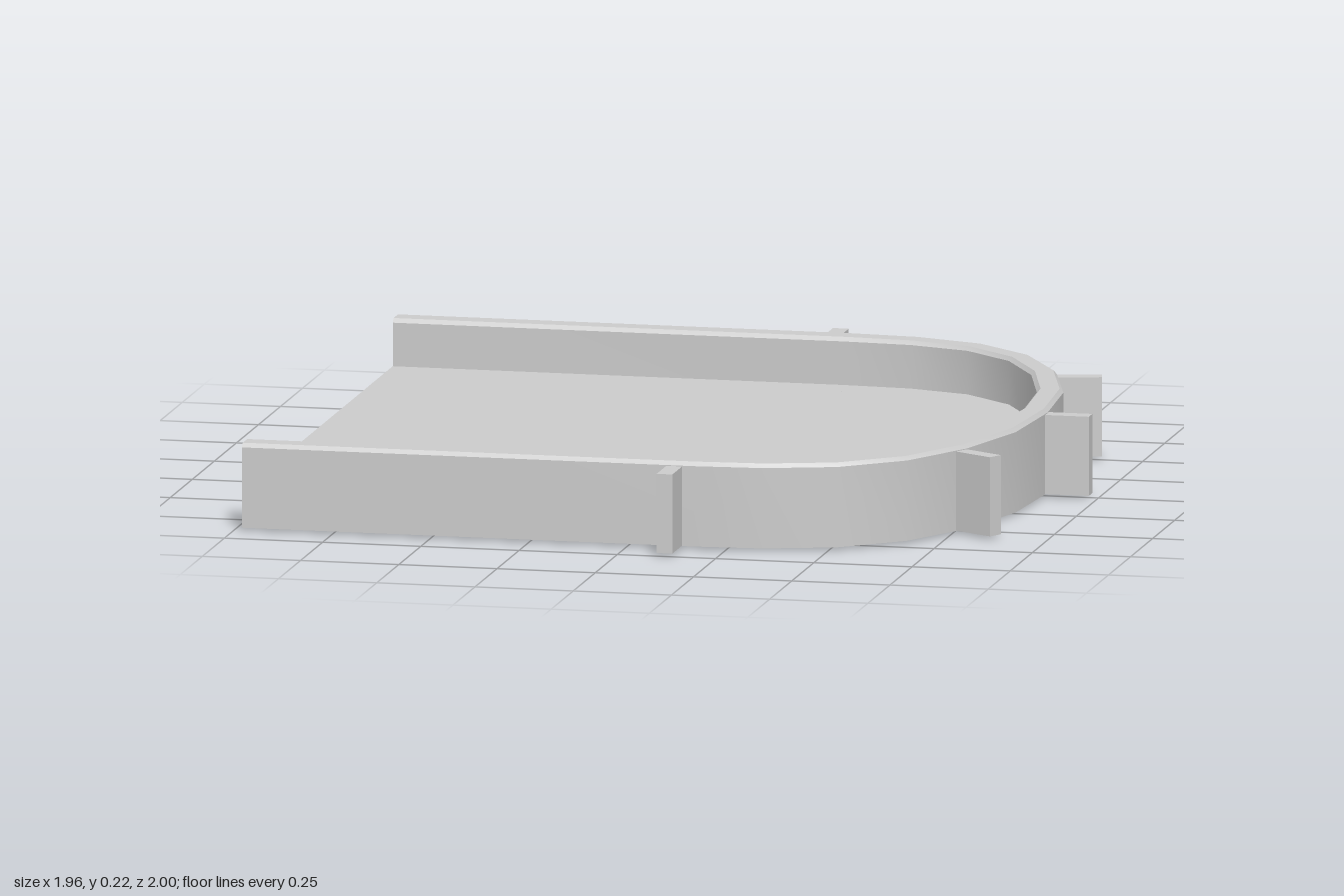
import * as THREE from 'three';
import { toCreasedNormals } from 'three/addons/utils/BufferGeometryUtils.js';

const BACK = -0.98, STEP = 0.18, FLOOR = 0.1, RIM = 0.22;

// Half outlines as [x, z], from the straight side to the tip of the curve
const OUTER = [[0.17, 0.89], [0.345, 0.878], [0.52, 0.823], [0.67, 0.7], [0.78, 0.51], [0.85, 0.27], [0.87, 0]];
const INNER = [[0.17, 0.82], [0.34, 0.81], [0.495, 0.765], [0.625, 0.655], [0.72, 0.485], [0.785, 0.26], [0.805, 0]];

// Mirrors a half outline across z = 0
const mirrored = (half) => [...half, ...half.slice(0, -1).reverse().map(([x, z]) => [x, -z])];

// Bevelled wall section swept between the inner and outer outlines
function wallGeometry() {
  const path = (half) => {
    const p = mirrored(half), z = half[0][1];
    return [[BACK, z], ...p, [BACK, -z]];
  };
  const inner = path(INNER), outer = path(OUTER);
  const section = [[0, 0.007], [0, 0.21], [0.14, RIM], [0.86, RIM], [1, 0.21], [1, 0.007]];
  const n = section.length, positions = [], index = [];
  inner.forEach(([ix, iz], i) => {
    const [ox, oz] = outer[i];
    for (const [t, y] of section) positions.push(ix + (ox - ix) * t, y, iz + (oz - iz) * t);
  });
  for (let i = 0; i < inner.length - 1; i++) {
    for (let j = 0; j < n; j++) {
      const a = i * n + j, d = i * n + (j + 1) % n, b = a + n, c = d + n;
      index.push(a, d, c, a, c, b);
    }
  }
  const last = (inner.length - 1) * n;
  for (let k = 1; k < n - 1; k++) {
    index.push(0, k + 1, k, last, last + k, last + k + 1);
  }
  const g = new THREE.BufferGeometry();
  g.setAttribute('position', new THREE.Float32BufferAttribute(positions, 3));
  g.setIndex(index);
  return toCreasedNormals(g, 0.6);
}

export function createModel() {
  const model = new THREE.Group();
  const solid = new THREE.MeshStandardMaterial({ color: 0xcccccc });
  const sheet = new THREE.MeshStandardMaterial({ color: 0xcccccc, side: THREE.DoubleSide });
  const add = (name, geometry, material = solid) => {
    const mesh = new THREE.Mesh(geometry, material);
    mesh.name = name;
    model.add(mesh);
    return mesh;
  };

  add('rimWall', wallGeometry());

  // Solid floor under the curved end
  const half = [[STEP, 0.82], ...INNER.slice(1)];
  const shape = new THREE.Shape(mirrored(half).map(([x, z]) => new THREE.Vector2(x, z)));
  const curved = new THREE.ExtrudeGeometry(shape, { depth: FLOOR, bevelEnabled: false });
  add('curvedFloor', curved.rotateX(-Math.PI / 2));

  // Thin straight floor, hollow underneath
  const straight = new THREE.PlaneGeometry(STEP - BACK, 1.64).rotateX(-Math.PI / 2);
  add('straightFloor', straight, sheet).position.set((STEP + BACK) / 2, FLOOR, 0);

  // Thin panel closing the straight end below the floor
  const panel = new THREE.PlaneGeometry(1.64, FLOOR).rotateY(-Math.PI / 2);
  add('endPanel', panel, sheet).position.set(BACK, FLOOR / 2, 0);

  // Upright ribs around the outside: start x, start z, heading in degrees, length
  const ribs = [
    [0.12, 0.87, 90, 0.13],
    [0.765, 0.525, 30, 0.12],
    [0.85, 0, 0, 0.13],
    [0.77, -0.493, -14, 0.125],
    [0.12, -0.87, -90, 0.13],
  ];
  for (const [x, z, heading, length] of ribs) {
    const rib = add('rib', new THREE.BoxGeometry(length, 0.2, 0.04).translate(length / 2, 0, 0));
    rib.position.set(x, 0.108, z);
    rib.rotation.y = -THREE.MathUtils.degToRad(heading);
  }
  return model;
}
